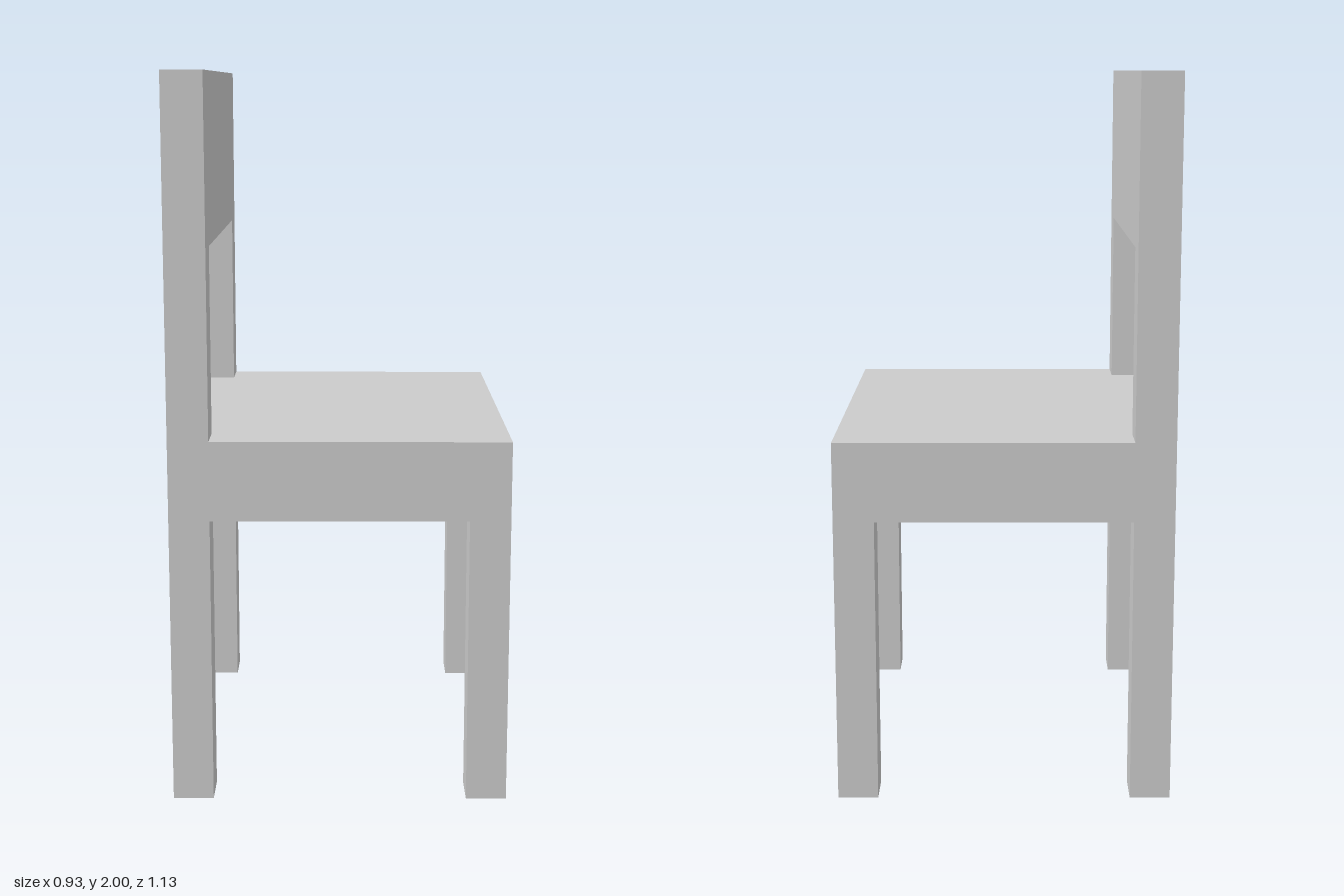
import * as THREE from 'three';

const W = 0.465, D = 0.563, T = 0.112; // half width (x), half depth (z), post thickness
const SEAT_BOTTOM = 0.80, SEAT_TOP = 1.02, RAIL_BOTTOM = 1.535, TOP = 2;

export function createModel() {
  const chair = new THREE.Group();
  chair.name = 'chair';
  const material = new THREE.MeshStandardMaterial({ color: 0xcccccc, flatShading: true });

  // Box given by its extents on each axis
  function block(name, [x0, x1], [y0, y1], [z0, z1]) {
    const mesh = new THREE.Mesh(new THREE.BoxGeometry(x1 - x0, y1 - y0, z1 - z0), material);
    mesh.position.set((x0 + x1) / 2, (y0 + y1) / 2, (z0 + z1) / 2);
    mesh.name = name;
    chair.add(mesh);
  }

  const backX = [-W, -W + T], frontX = [W - T, W];

  // Thick seat slab and broad top rail of the backrest
  block('seat', [-W, W], [SEAT_BOTTOM, SEAT_TOP], [-D, D]);
  block('backrestRail', backX, [RAIL_BOTTOM, TOP], [-D, D]);

  // Legs and backrest posts on both sides
  for (const [side, z] of [['left', [-D, -D + T]], ['right', [D - T, D]]]) {
    block(side + 'FrontLeg', frontX, [0, SEAT_BOTTOM], z);
    block(side + 'BackLeg', backX, [0, SEAT_BOTTOM], z);
    block(side + 'BackrestPost', backX, [SEAT_TOP, RAIL_BOTTOM], z);
  }
  return chair;
}
